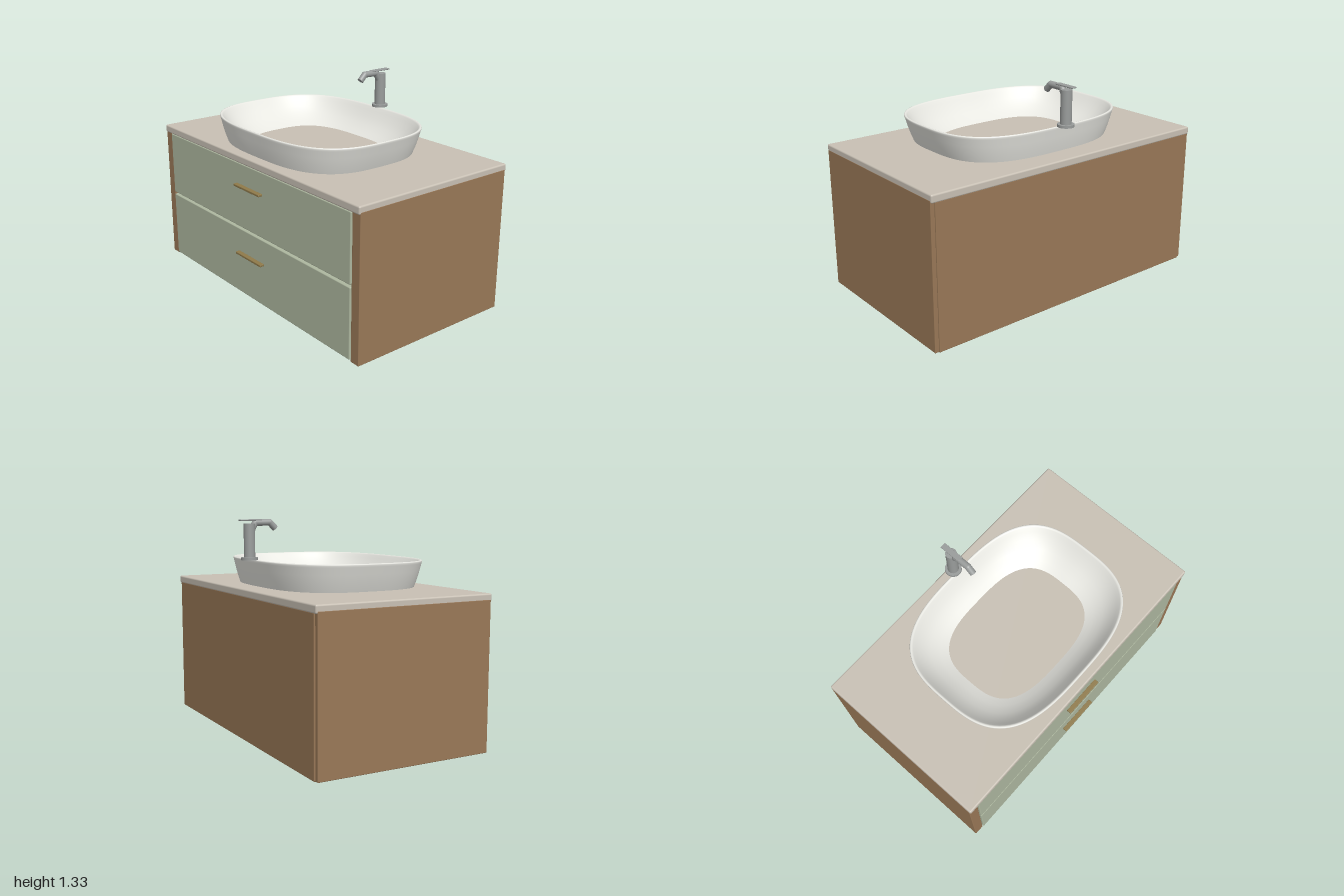
import * as THREE from 'three';
import { RoundedBoxGeometry } from 'three/addons/geometries/RoundedBoxGeometry.js';

const mat = (color, side = THREE.FrontSide) => new THREE.MeshStandardMaterial({ color, side });
const wood = mat(0x997857), sage = mat(0xadb79f), stone = mat(0xc8c0b4);
const ceramic = mat(0xe8e8e2, THREE.DoubleSide), metal = mat(0x999c9b), brass = mat(0x8f7a4a);

function add(parent, name, geometry, material) {
  const mesh = new THREE.Mesh(geometry, material);
  mesh.name = name;
  parent.add(mesh);
  return mesh;
}

// Box given by its limits on each axis, optionally with rounded edges
function box(parent, name, [x0, x1], [y0, y1], [z0, z1], material, radius = 0) {
  const size = [x1 - x0, y1 - y0, z1 - z0];
  const geometry = radius ? new RoundedBoxGeometry(...size, 3, radius) : new THREE.BoxGeometry(...size);
  add(parent, name, geometry, material).position.set((x0 + x1) / 2, (y0 + y1) / 2, (z0 + z1) / 2);
}

// Round bar between two points
function rod(parent, name, a, b, radius, material) {
  const dir = b.clone().sub(a);
  const mesh = add(parent, name, new THREE.CylinderGeometry(radius, radius, dir.length(), 32), material);
  mesh.position.copy(a).add(b).multiplyScalar(0.5);
  mesh.quaternion.setFromUnitVectors(new THREE.Vector3(0, 1, 0), dir.normalize());
}

// Skin over rounded-rectangle sections [halfX, halfZ, y]
function basinGeometry(sections, power = 3, segments = 128) {
  const positions = [], index = [];
  sections.forEach(([a, b, y], i) => {
    for (let j = 0; j < segments; j++) {
      const t = (j / segments) * Math.PI * 2, c = Math.cos(t), s = Math.sin(t);
      const r = (Math.abs(c) ** power + Math.abs(s) ** power) ** (-1 / power);
      positions.push(a * r * c, y, b * r * s);
      if (i === sections.length - 1) continue;
      const k = (j + 1) % segments, p = i * segments, q = p + segments;
      index.push(p + j, q + j, q + k, p + j, q + k, p + k);
    }
  });
  const geometry = new THREE.BufferGeometry();
  geometry.setAttribute('position', new THREE.Float32BufferAttribute(positions, 3));
  geometry.setIndex(index);
  geometry.computeVertexNormals();
  return geometry;
}

export function createModel() {
  const model = new THREE.Group();
  model.name = 'washbasinCabinet';

  // Cabinet shell, open underneath
  const cabinet = new THREE.Group();
  cabinet.name = 'cabinet';
  model.add(cabinet);
  box(cabinet, 'rightPanel', [-1, -0.935], [0, 0.89], [-0.567, 0.545], wood, 0.004);
  box(cabinet, 'leftPanel', [0.935, 1], [0, 0.89], [-0.567, 0.545], wood, 0.004);
  box(cabinet, 'backPanel', [-0.975, 0.975], [0, 0.88], [-0.575, -0.535], wood, 0.004);
  box(cabinet, 'countertop', [-0.999, 0.999], [0.875, 0.924], [-0.577, 0.553], stone, 0.01);

  // Drawer fronts with bar handles
  [[0.01, 0.446, 0.288], [0.46, 0.875, 0.737]].forEach(([y0, y1, yHandle], i) => {
    const drawer = new THREE.Group();
    drawer.name = i ? 'upperDrawer' : 'lowerDrawer';
    model.add(drawer);
    box(drawer, 'drawerFront', [-0.93, 0.93], [y0, y1], [0.51, 0.551], sage, 0.006);
    box(drawer, 'handle', [-0.133, 0.133], [yHandle - 0.007, yHandle + 0.007], [0.55, 0.58], brass, 0.003);
  });

  // Vessel basin: outer wall, rounded rim, inner wall
  add(model, 'basin', basinGeometry([
    [0.586, 0.459, 0.922], [0.605, 0.472, 0.97], [0.623, 0.484, 1.025], [0.636, 0.492, 1.07],
    [0.64, 0.495, 1.08], [0.638, 0.493, 1.086], [0.633, 0.488, 1.088], [0.627, 0.482, 1.086],
    [0.622, 0.477, 1.08], [0.607, 0.463, 1.06], [0.575, 0.436, 1.02], [0.53, 0.399, 0.98],
    [0.475, 0.353, 0.945], [0.418, 0.308, 0.92],
  ]), ceramic).position.z = 0.028;

  // Mixer tap
  const tap = new THREE.Group();
  tap.name = 'tap';
  model.add(tap);
  const at = (y, z) => new THREE.Vector3(0, y, z);
  rod(tap, 'tapBase', at(1.087, -0.487), at(1.103, -0.487), 0.051, metal);
  rod(tap, 'tapBody', at(1.1, -0.487), at(1.306, -0.487), 0.034, metal);
  const path = [at(1.27, -0.47), at(1.311, -0.448), at(1.312, -0.352), at(1.276, -0.316)];
  path.slice(1).forEach((p, i) => {
    rod(tap, 'spout', path[i], p, 0.02, metal);
    if (i < 2) add(tap, 'spoutElbow', new THREE.SphereGeometry(0.02, 24, 16), metal).position.copy(p);
  });
  box(tap, 'lever', [-0.018, 0.018], [1.322, 1.331], [-0.55, -0.41], metal, 0.003);

  return model;
}
